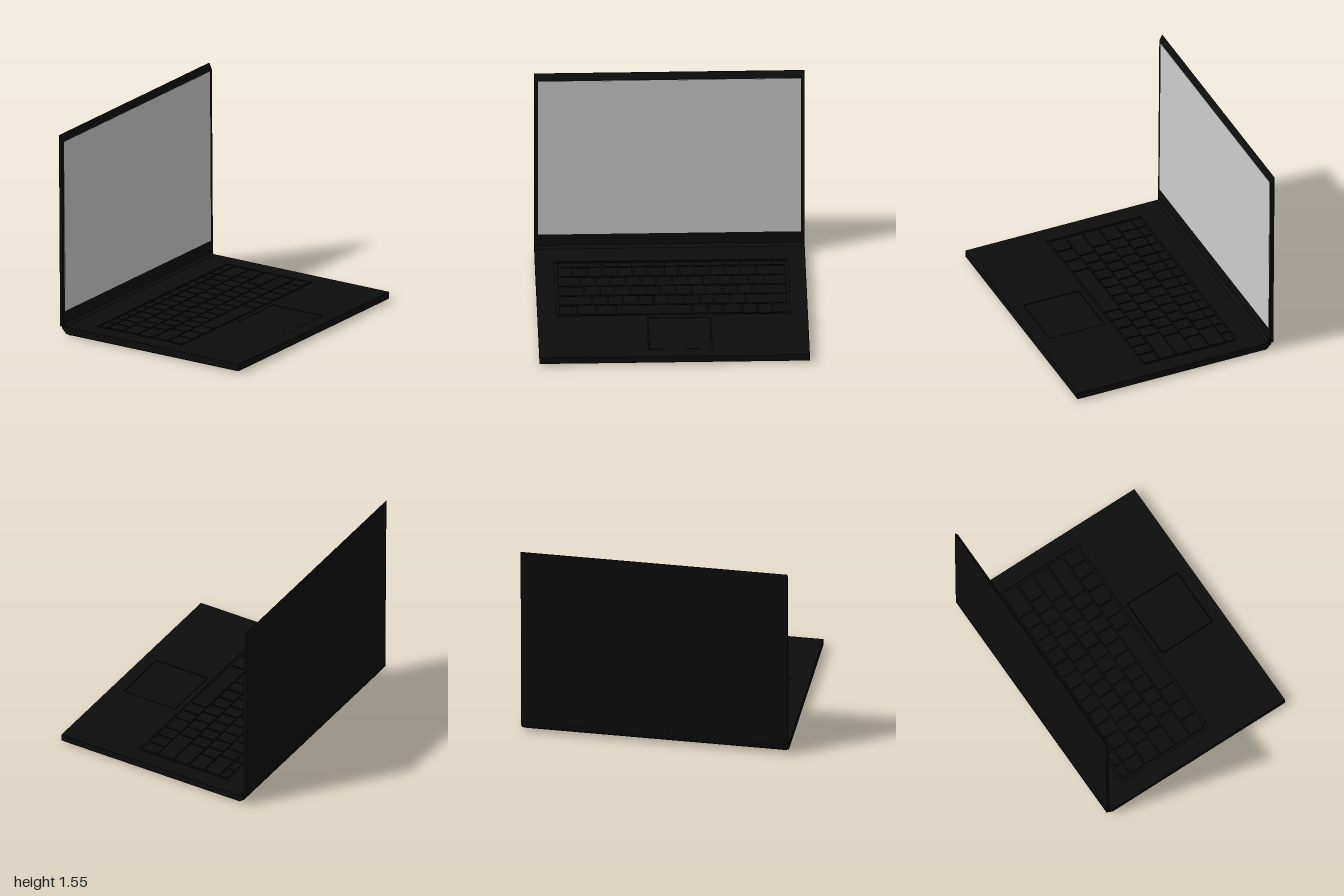
import * as THREE from 'three';

const black = new THREE.MeshStandardMaterial({ color: 0x0d0d0d });
black.name = 'matte black';
const grey = new THREE.MeshStandardMaterial({ color: 0xcccccc });
grey.name = 'screen grey';

function part(name, geometry, material, parent) {
  const mesh = new THREE.Mesh(geometry, material);
  mesh.name = name;
  parent.add(mesh);
  return mesh;
}

// Box given by its limits on each axis
function box(name, [x0, x1], [y0, y1], [z0, z1], material, parent) {
  const mesh = part(name, new THREE.BoxGeometry(x1 - x0, y1 - y0, z1 - z0), material, parent);
  mesh.position.set((x0 + x1) / 2, (y0 + y1) / 2, (z0 + z1) / 2);
  return mesh;
}

// Solid with an x-y outline, spanning z symmetrically
function slab(points, halfZ) {
  const shape = new THREE.Shape(points.map(p => new THREE.Vector2(...p)));
  return new THREE.ExtrudeGeometry(shape, { depth: halfZ * 2, bevelEnabled: false })
    .translate(0, 0, -halfZ);
}

// Stack of rectangular rings [y, x0, x1, halfZ] with closed ends
function loft(rings) {
  const corners = rings.map(([y, a, b, h]) => [[a, y, h], [b, y, h], [b, y, -h], [a, y, -h]]);
  const pos = [];
  const quad = (a, b, c, d) => pos.push(...a, ...b, ...c, ...a, ...c, ...d);
  for (let i = 0; i < corners.length - 1; i++)
    for (let j = 0; j < 4; j++) {
      const k = (j + 1) % 4;
      quad(corners[i][j], corners[i][k], corners[i + 1][k], corners[i + 1][j]);
    }
  const [bottom, top] = [corners[0], corners[corners.length - 1]];
  quad(top[0], top[1], top[2], top[3]);
  quad(bottom[3], bottom[2], bottom[1], bottom[0]);
  const g = new THREE.BufferGeometry();
  g.setAttribute('position', new THREE.Float32BufferAttribute(pos, 3));
  g.computeVertexNormals();
  return g;
}

function rectangle(Type, [x0, x1], [z0, z1]) {
  return new Type([[x0, -z1], [x1, -z1], [x1, -z0], [x0, -z0]].map(p => new THREE.Vector2(...p)));
}

export function createModel() {
  const model = new THREE.Group();
  model.name = 'laptop';
  const DECK = 0.055, TOP = 0.068;
  const well = { x: [-0.56, 0.21], z: [-0.87, 0.86] };
  const pad = { x: [0.25, 0.7], z: [-0.28, 0.19] };

  // Lower case with chamfered underside
  part('lowerCase', loft([
    [0, -0.71, 0.775, 0.97],
    [0.015, -0.735, 0.8, 1],
    [DECK, -0.775, 0.8, 1],
  ]), black, model);

  // Deck with openings for keyboard and trackpad
  const outline = rectangle(THREE.Shape, [-0.765, 0.8], [-1, 1]);
  outline.holes.push(rectangle(THREE.Path, well.x, well.z), rectangle(THREE.Path, pad.x, pad.z));
  const deck = new THREE.ExtrudeGeometry(outline, { depth: TOP - DECK, bevelEnabled: false })
    .rotateX(-Math.PI / 2).translate(0, DECK, 0);
  part('deck', deck, black, model);

  // Trackpad set into its opening
  box('trackpad', [pad.x[0] + 0.006, pad.x[1] - 0.006], [DECK, TOP - 0.002],
    [pad.z[0] + 0.006, pad.z[1] - 0.006], black, model);

  // Keyboard: short function row, then five full rows, from the user's left (+z)
  const keyboard = new THREE.Group();
  keyboard.name = 'keyboard';
  model.add(keyboard);
  const ones = n => Array(n).fill(1);
  const rows = [
    ones(15),
    [...ones(13), 2],
    [1.5, ...ones(12), 1.5],
    [1.75, ...ones(11), 2.25],
    [2.25, ...ones(10), 2.75],
    [1.25, 1.25, 1.25, 5, 1, 1, 1.25, 1, 1, 1],
  ];
  let x = well.x[0] + 0.015;
  rows.forEach((row, r) => {
    const depth = r === 0 ? 0.07 : 0.134;
    const unit = (well.z[1] - well.z[0] - 0.03) / row.reduce((a, b) => a + b);
    let z = well.z[1] - 0.015;
    row.forEach(w => {
      box('key', [x + 0.006, x + depth - 0.006], [DECK, TOP],
        [z - w * unit + 0.006, z - 0.006], black, keyboard);
      z -= w * unit;
    });
    x += depth;
  });

  // Hinge cover rounding the back of the case into the lid
  part('hingeCover', slab([
    [-0.71, 0.003], [-0.7, 0.06], [-0.74, 0.068], [-0.768, 0.088],
    [-0.792, 0.088], [-0.788, 0.065], [-0.765, 0.03], [-0.735, 0.01],
  ], 0.985), black, model);

  // Lid, leaning slightly back, with a bevelled upper edge
  part('lid', slab([
    [-0.79, 0.065], [-0.765, 0.065], [-0.775, 1.51], [-0.797, 1.555], [-0.8, 1.555],
  ], 1), black, model);

  // Display on the inner face of the lid
  const screen = part('screen', new THREE.BoxGeometry(0.004, 1.32, 1.944), grey, model);
  screen.position.set(-0.7705, 0.84, 0);
  screen.rotation.z = 0.007;

  return model;
}
